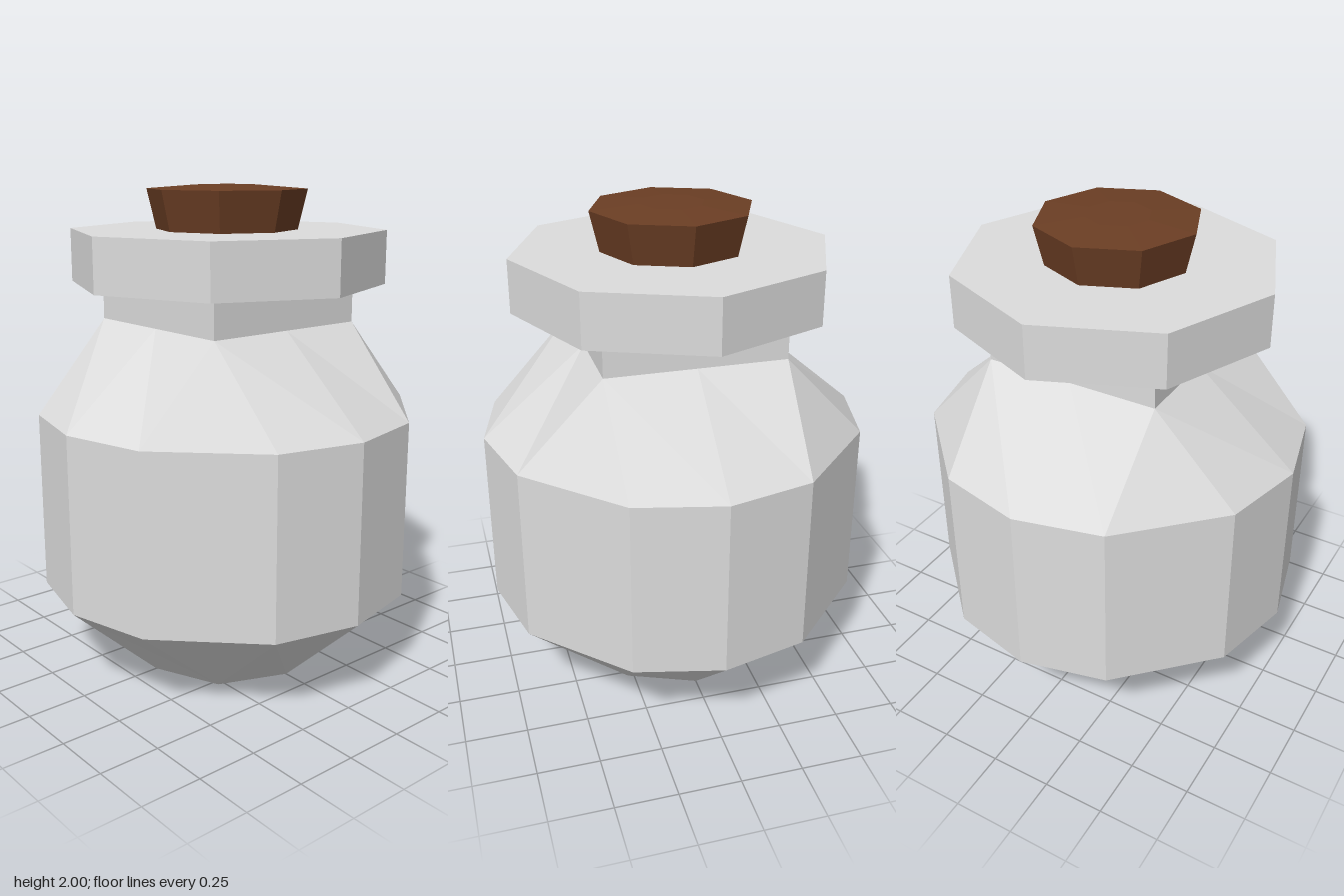
import * as THREE from 'three';

// Twelve-point outline: four equal quarters of three points, each turned 90 degrees
function ring(quarter, y) {
  const pts = [];
  for (let q = 0; q < 4; q++) {
    for (const [x, z] of quarter) {
      const [rx, rz] = [[x, z], [-z, x], [-x, -z], [z, -x]][q];
      pts.push(new THREE.Vector3(rx, y, rz));
    }
  }
  return pts;
}

// Skin between successive rings, closed at both ends
function loft(rings) {
  const pos = [];
  const tri = (a, b, c) => {
    const area = b.clone().sub(a).cross(c.clone().sub(a)).length();
    if (area > 1e-6) for (const p of [a, b, c]) pos.push(p.x, p.y, p.z);
  };
  const n = rings[0].length;
  for (let k = 0; k < rings.length - 1; k++) {
    const lo = rings[k], hi = rings[k + 1];
    for (let i = 0; i < n; i++) {
      const j = (i + 1) % n;
      tri(lo[i], hi[i], hi[j]);
      tri(lo[i], hi[j], lo[j]);
    }
  }
  const first = rings[0], last = rings[rings.length - 1];
  const c0 = new THREE.Vector3(0, first[0].y, 0), c1 = new THREE.Vector3(0, last[0].y, 0);
  for (let i = 0; i < n; i++) {
    const j = (i + 1) % n;
    tri(c0, first[i], first[j]);
    tri(c1, last[j], last[i]);
  }
  const g = new THREE.BufferGeometry();
  g.setAttribute('position', new THREE.Float32BufferAttribute(pos, 3));
  g.computeVertexNormals();
  return g;
}

export function createModel() {
  const model = new THREE.Group();
  model.name = 'corkedJar';

  const glass = new THREE.MeshStandardMaterial({ color: 0xdcdcdc, flatShading: true });
  glass.name = 'pale grey';
  const brown = new THREE.MeshStandardMaterial({ color: 0x6b3e24, flatShading: true });
  brown.name = 'cork brown';

  const add = (name, geometry, material, y = 0) => {
    const mesh = new THREE.Mesh(geometry, material);
    mesh.name = name;
    mesh.position.y = y;
    model.add(mesh);
  };

  // Body: octagonal foot, twelve-sided belly, shoulder drawn in to a square
  const foot = [[0.39, 0], [0.276, 0.276], [0.276, 0.276]];
  const belly = [[0.785, 0], [0.7, 0.35], [0.35, 0.7]];
  const collar = [[0.363, 0], [0.363, 0.363], [0.363, 0.363]];
  add('body', loft([
    ring(foot, 0), ring(belly, 0.365), ring(belly, 1.095), ring(collar, 1.455),
  ]), glass);

  // Square neck
  add('neck', new THREE.BoxGeometry(0.726, 0.17, 0.726), glass, 1.535);

  // Octagonal rim
  add('rim', new THREE.CylinderGeometry(0.643, 0.643, 0.215, 8), glass, 1.7175);

  // Tapered cork with a slightly domed top
  const profile = [[0, 1.78], [0.277, 1.78], [0.325, 1.985], [0.13, 2], [0, 2]];
  add('cork', new THREE.LatheGeometry(profile.map(([r, y]) => new THREE.Vector2(r, y)), 8), brown);

  return model;
}
